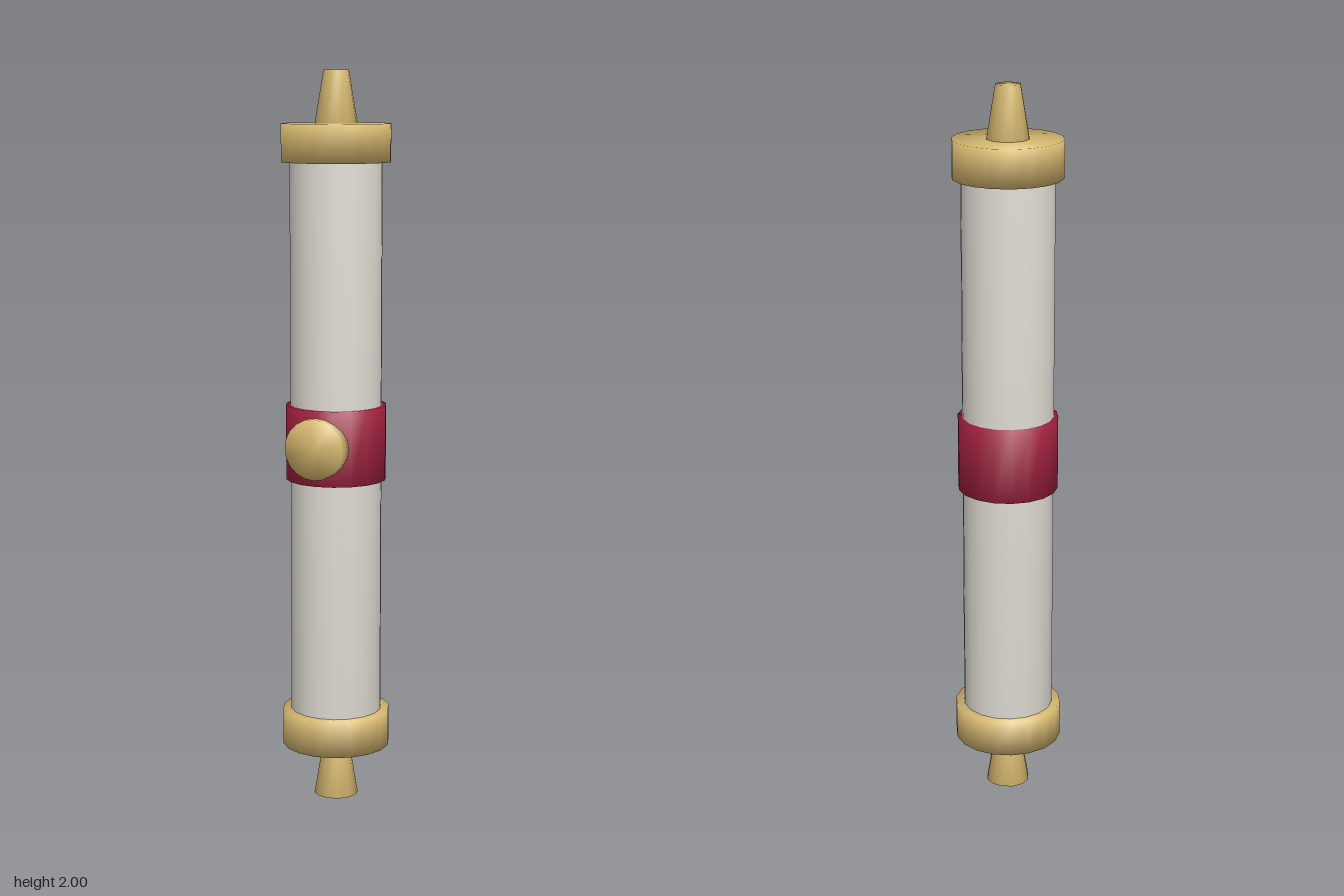
import * as THREE from 'three';
import { mergeVertices } from 'three/addons/utils/BufferGeometryUtils.js';

const Z = -0.004; // axis of the roll, offset by the seal at the front

function material(name, color) {
  const m = new THREE.MeshStandardMaterial({ color });
  m.name = name;
  return m;
}

// Cylinder whose normals flow softly over its rims
function softCylinder(rTop, rBottom, height, sides) {
  const g = new THREE.CylinderGeometry(rTop, rBottom, height, sides);
  g.deleteAttribute('normal');
  g.deleteAttribute('uv');
  const merged = mergeVertices(g, 1e-4);
  merged.computeVertexNormals();
  return merged;
}

export function createModel() {
  const gold = material('gold', 0xd6b870);
  const parchment = material('parchment', 0xe0dcd3);
  const crimson = material('crimson', 0xa0203e);
  const group = new THREE.Group();
  group.name = 'scroll';

  // Upright round part spanning y0 to y1
  const addRound = (name, mat, rTop, rBottom, y0, y1, sides) => {
    const mesh = new THREE.Mesh(softCylinder(rTop, rBottom, y1 - y0, sides), mat);
    mesh.name = name;
    mesh.position.set(0, (y0 + y1) / 2, Z);
    group.add(mesh);
  };

  // Rolled sheet and the ribbon around its middle
  addRound('paperRoll', parchment, 0.125, 0.125, 0.2, 1.81, 18);
  addRound('ribbon', crimson, 0.137, 0.137, 0.9, 1.105, 18);

  // End caps, and knobs that both taper upwards
  addRound('bottomCap', gold, 0.148, 0.148, 0.148, 0.25, 18);
  addRound('topCap', gold, 0.148, 0.148, 1.758, 1.86, 18);
  addRound('bottomKnob', gold, 0.034, 0.061, 0, 0.16, 12);
  addRound('topKnob', gold, 0.034, 0.061, 1.84, 2, 12);

  // Round seal on the front of the ribbon
  const seal = new THREE.Mesh(softCylinder(0.083, 0.083, 0.052, 20), gold);
  seal.name = 'seal';
  seal.rotation.x = Math.PI / 2;
  seal.position.set(0, 1.003, 0.126);
  group.add(seal);

  return group;
}
